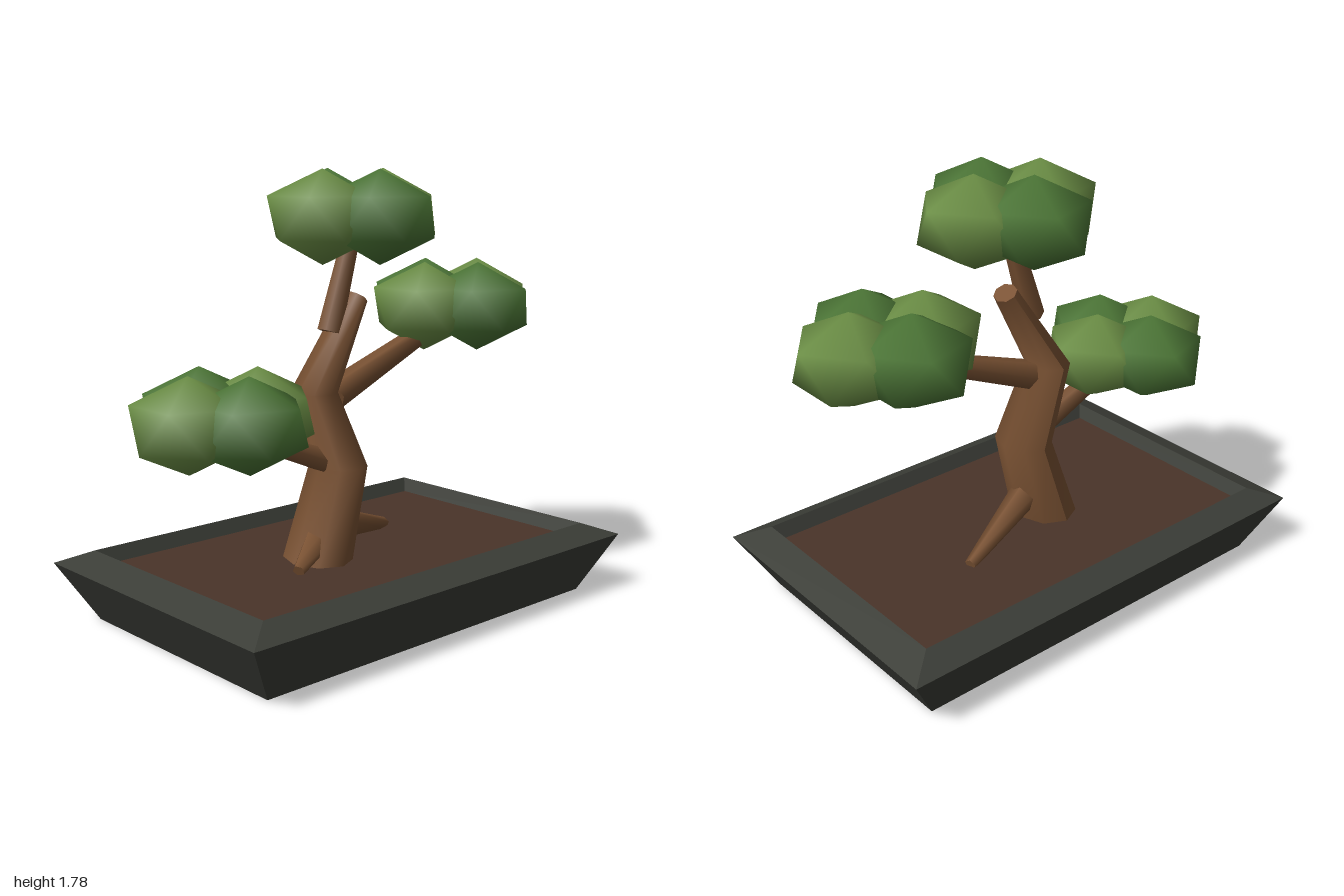
import * as THREE from 'three';
import { mergeVertices } from 'three/addons/utils/BufferGeometryUtils.js';

const mat = (color, flatShading = false) => {
  const m = new THREE.MeshStandardMaterial({ color });
  m.flatShading = flatShading;
  return m;
};

function add(parent, name, geometry, material) {
  const mesh = new THREE.Mesh(geometry, material);
  mesh.name = name;
  parent.add(mesh);
  return mesh;
}

// Tapered limb between two points
function limb(parent, name, from, to, r0, r1, sides, material) {
  const a = new THREE.Vector3(...from), b = new THREE.Vector3(...to);
  const dir = b.clone().sub(a);
  const mesh = add(parent, name, new THREE.CylinderGeometry(r1, r0, dir.length(), sides), material);
  mesh.position.copy(a).add(b).multiplyScalar(0.5);
  mesh.quaternion.setFromUnitVectors(new THREE.Vector3(0, 1, 0), dir.normalize());
}

// Walls through a list of rectangles [halfX, y, halfZ]
function rectangleLoft(rings) {
  const corner = ([x, y, z], i) => [[x, y, z], [x, y, -z], [-x, y, -z], [-x, y, z]][i % 4];
  const pos = [];
  for (let r = 0; r < rings.length - 1; r++) {
    for (let i = 0; i < 4; i++) {
      const a = corner(rings[r], i), b = corner(rings[r], i + 1);
      const c = corner(rings[r + 1], i + 1), d = corner(rings[r + 1], i);
      pos.push(...a, ...b, ...c, ...a, ...c, ...d);
    }
  }
  const g = new THREE.BufferGeometry();
  g.setAttribute('position', new THREE.Float32BufferAttribute(pos, 3));
  g.computeVertexNormals();
  return g;
}

// Bent trunk: rows of a cylinder moved onto tilted elliptical rings
function trunkGeometry() {
  const rings = [ // x, y, radius x, radius z, tilt
    [-0.16, 0.22, 0.13, 0.155, 0],
    [-0.045, 0.6, 0.105, 0.133, 0],
    [-0.172, 0.915, 0.087, 0.102, 0],
    [0.05, 1.275, 0.047, 0.055, -0.56],
  ];
  const g = new THREE.CylinderGeometry(1, 1, 3, 8, 3);
  g.rotateY(Math.PI);
  const p = g.attributes.position;
  for (let i = 0; i < p.count; i++) {
    const [x, y, rx, rz, tilt] = rings[Math.round(p.getY(i) + 1.5)];
    const u = p.getX(i) * rx;
    p.setXYZ(i, x + u * Math.cos(tilt), y + u * Math.sin(tilt), p.getZ(i) * rz);
  }
  g.computeVertexNormals();
  return g;
}

// Smooth-shaded icosahedron standing on a vertex, slightly flattened
function leafGeometry() {
  let g = new THREE.IcosahedronGeometry(1, 0);
  g.deleteAttribute('normal');
  g.deleteAttribute('uv');
  g = mergeVertices(g, 1e-3);
  g.rotateZ(-Math.atan(2 / (1 + Math.sqrt(5))));
  g.scale(0.24, 0.185, 0.24);
  g.computeVertexNormals();
  return g;
}

export function createModel() {
  const model = new THREE.Group();
  model.name = 'bonsai';
  const bark = mat(0x7a5233);
  const lightLeaf = mat(0x6b8e45);
  const darkLeaf = mat(0x4c7636);

  // Pot with flared walls and a bevelled rim
  add(model, 'pot', rectangleLoft([
    [0, 0, 0], [0.85, 0, 0.53], [0.99, 0.24, 0.637], [0.865, 0.29, 0.53], [0.84, 0.23, 0.5],
  ]), mat(0x3b3d37, true));
  const soil = add(model, 'soil', new THREE.PlaneGeometry(1.69, 1.01), mat(0x4a3429, true));
  soil.rotation.x = -Math.PI / 2;
  soil.position.y = 0.232;

  // Trunk, branches and roots
  add(model, 'trunk', trunkGeometry(), bark);
  limb(model, 'leftBranch', [-0.07, 0.89, 0], [0.6, 1.16, 0], 0.062, 0.035, 6, bark);
  limb(model, 'rightBranch', [-0.08, 0.615, 0], [-0.6, 0.82, 0], 0.055, 0.035, 6, bark);
  limb(model, 'topBranch', [-0.09, 1.145, 0], [0.04, 1.56, 0], 0.05, 0.035, 6, bark);
  limb(model, 'leftRoot', [-0.09, 0.36, 0], [0.37, 0.24, -0.16], 0.07, 0.025, 5, bark);
  limb(model, 'rightRoot', [-0.12, 0.35, 0], [-0.36, 0.25, 0.12], 0.07, 0.025, 5, bark);

  // Three foliage pads of four overlapping clumps
  const leaf = leafGeometry();
  const pads = { topFoliage: [0.037, 1.595], leftFoliage: [0.607, 1.205], rightFoliage: [-0.615, 0.863] };
  for (const [name, [x, y]] of Object.entries(pads)) {
    const pad = new THREE.Group();
    pad.name = name;
    pad.position.set(x, y, 0);
    for (const s of [-1, 1]) {
      add(pad, 'sideClump', leaf, lightLeaf).position.x = s * 0.162;
      add(pad, 'frontBackClump', leaf, darkLeaf).position.z = s * 0.153;
    }
    model.add(pad);
  }
  return model;
}
